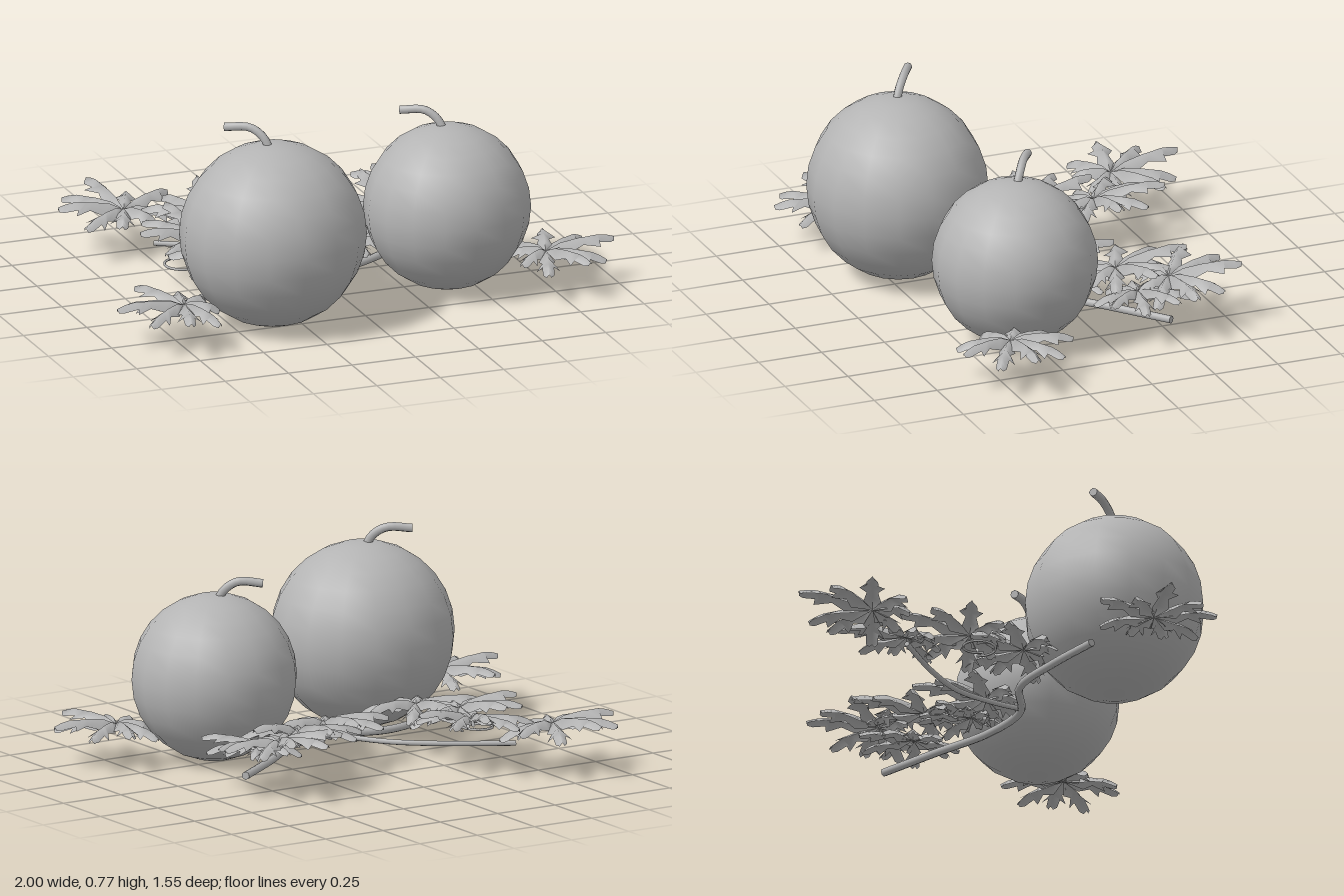
import * as THREE from 'three';

const grey = new THREE.MeshStandardMaterial({ color: 0xb4b4b4, side: THREE.DoubleSide });
grey.name = 'plain grey';

const vec = (p) => new THREE.Vector3(...p);

function add(parent, name, geometry) {
  const mesh = new THREE.Mesh(geometry, grey);
  mesh.name = name;
  parent.add(mesh);
  return mesh;
}

// Round stalk along a smooth path, closed at both ends
function stalk(parent, name, points, radius, segments = 24, sides = 8) {
  const curve = new THREE.CatmullRomCurve3(points.map(vec));
  const group = new THREE.Group();
  group.name = name;
  add(group, name + 'Tube', new THREE.TubeGeometry(curve, segments, radius, sides));
  for (const t of [0, 1]) {
    const cap = add(group, name + 'Cap', new THREE.CircleGeometry(radius, sides));
    const out = curve.getTangent(t).multiplyScalar(t ? 1 : -1);
    cap.position.copy(curve.getPoint(t));
    cap.quaternion.setFromUnitVectors(new THREE.Vector3(0, 0, 1), out);
  }
  parent.add(group);
}

// Deeply lobed leaf: each lobe is a folded strip with a pair of side teeth
function leafGeometry() {
  // ridge distance, edge distance, half width, ridge height, edge height
  const rows = [
    [0, 0, 0, 0.02, 0.02],
    [0.22, 0.36, 0.14, 0.1, -0.05],
    [0.5, 0.55, 0.09, 0.11, 0.0],
    [0.6, 0.78, 0.2, 0.1, -0.06],
    [0.8, 0.74, 0.1, 0.09, 0.0],
    [0.93, 0.96, 0.09, 0.05, -0.06],
    [1.05, 1.03, 0.04, -0.01, -0.07],
  ];
  // angle in degrees, length, lift towards the tip
  const lobes = [
    [0, 1.16, 0.08], [32, 0.98, -0.08], [-35, 1.02, -0.04], [68, 1.04, 0.08],
    [-72, 1.0, 0.04], [108, 0.86, -0.08], [-110, 0.84, -0.1], [150, 0.6, -0.04], [-150, 0.58, -0.04],
  ];
  const positions = [];
  const index = [];
  for (const [degrees, length, lift] of lobes) {
    const a = THREE.MathUtils.degToRad(degrees);
    const start = positions.length / 3;
    rows.forEach(([ridgeU, edgeU, w, ridgeY, edgeY], r) => {
      for (const side of [-1, 0, 1]) {
        const along = (side ? edgeU : ridgeU) * length;
        const across = side * w;
        positions.push(
          along * Math.cos(a) - across * Math.sin(a),
          (side ? edgeY : ridgeY) + along * lift,
          along * Math.sin(a) + across * Math.cos(a));
      }
      if (r === 0) return;
      const p = start + (r - 1) * 3;
      for (const k of [p, p + 1]) index.push(k, k + 1, k + 3, k + 1, k + 4, k + 3);
    });
  }
  const geometry = new THREE.BufferGeometry();
  geometry.setAttribute('position', new THREE.Float32BufferAttribute(positions, 3));
  geometry.setIndex(index);
  geometry.computeVertexNormals();
  return geometry;
}

export function createModel() {
  const model = new THREE.Group();
  model.name = 'melonsOnVine';

  // Two round fruits with bent stems
  const fruits = [
    { name: 'largeMelon', at: [-0.345, 0.351, 0.45], size: [0.347, 0.347, 0.332],
      stem: [[-0.355, 0.67, 0.45], [-0.375, 0.72, 0.43], [-0.415, 0.752, 0.395], [-0.495, 0.748, 0.345]] },
    { name: 'smallMelon', at: [0.402, 0.314, 0.295], size: [0.309, 0.311, 0.305],
      stem: [[0.395, 0.6, 0.285], [0.375, 0.645, 0.265], [0.335, 0.675, 0.235], [0.26, 0.668, 0.185]] },
  ];
  for (const f of fruits) {
    const fruit = add(model, f.name, new THREE.SphereGeometry(1, 16, 14));
    fruit.position.set(...f.at);
    fruit.scale.set(...f.size);
    stalk(model, f.name + 'Stem', f.stem, 0.016, 10);
  }

  // Vine lying near the ground, with a side branch and a curled tendril
  stalk(model, 'mainVine', [
    [-0.66, 0.06, 0.31], [-0.45, 0.06, 0.2], [-0.23, 0.065, 0.12], [0, 0.07, 0.16],
    [0.2, 0.07, 0.08], [0.4, 0.07, -0.08], [0.61, 0.072, -0.24]], 0.015, 40);
  stalk(model, 'sideBranch', [
    [-0.03, 0.07, 0.15], [-0.06, 0.07, 0.06], [-0.13, 0.075, -0.09],
    [-0.27, 0.075, -0.21], [-0.5, 0.075, -0.35]], 0.01, 30);
  const curl = [];
  for (let i = 0; i <= 14; i++) {
    const a = i * 0.48;
    curl.push([-0.5 + 0.06 * Math.cos(a), 0.075 + i * 0.001, -0.08 + 0.06 * Math.sin(a)]);
  }
  stalk(model, 'tendril', curl, 0.005, 40, 5);

  // Leaves: centre, heading in degrees (0 = +x, 90 = back), size, tilt up, roll
  const leaves = [
    ['leftFrontLeaf', [-0.73, 0.142, 0.53], 184, 0.222, 0.03, 0],
    ['rightFrontLeaf', [0.73, 0.142, 0.45], 0, 0.222, 0.03, 0],
    ['leftBackLeaf', [-0.565, 0.165, -0.49], 98, 0.235, 0.08, 0.06],
    ['leftBackLeaf', [-0.32, 0.18, -0.32], 72, 0.22, 0.14, -0.1],
    ['leftBackLeaf', [-0.41, 0.165, -0.1], 100, 0.225, 0.14, 0.1],
    ['leftBackLeaf', [-0.36, 0.145, 0.11], 85, 0.235, 0.06, 0],
    ['rightBackLeaf', [0.08, 0.145, 0.05], 85, 0.23, 0.12, 0],
    ['rightBackLeaf', [0.32, 0.18, -0.14], 85, 0.23, 0.14, -0.1],
    ['rightBackLeaf', [0.49, 0.19, -0.28], 72, 0.225, 0.12, 0.1],
    ['rightBackLeaf', [0.5, 0.155, -0.15], 20, 0.195, 0.06, 0],
    ['rightBackLeaf', [0.24, 0.14, 0.02], 55, 0.18, 0.08, 0],
  ];
  const geometry = leafGeometry();
  for (const [name, at, heading, size, tilt, roll] of leaves) {
    const leaf = add(model, name, geometry);
    leaf.position.set(...at);
    leaf.rotation.set(roll, THREE.MathUtils.degToRad(heading), tilt, 'YXZ');
    leaf.scale.setScalar(size);
  }
  return model;
}
